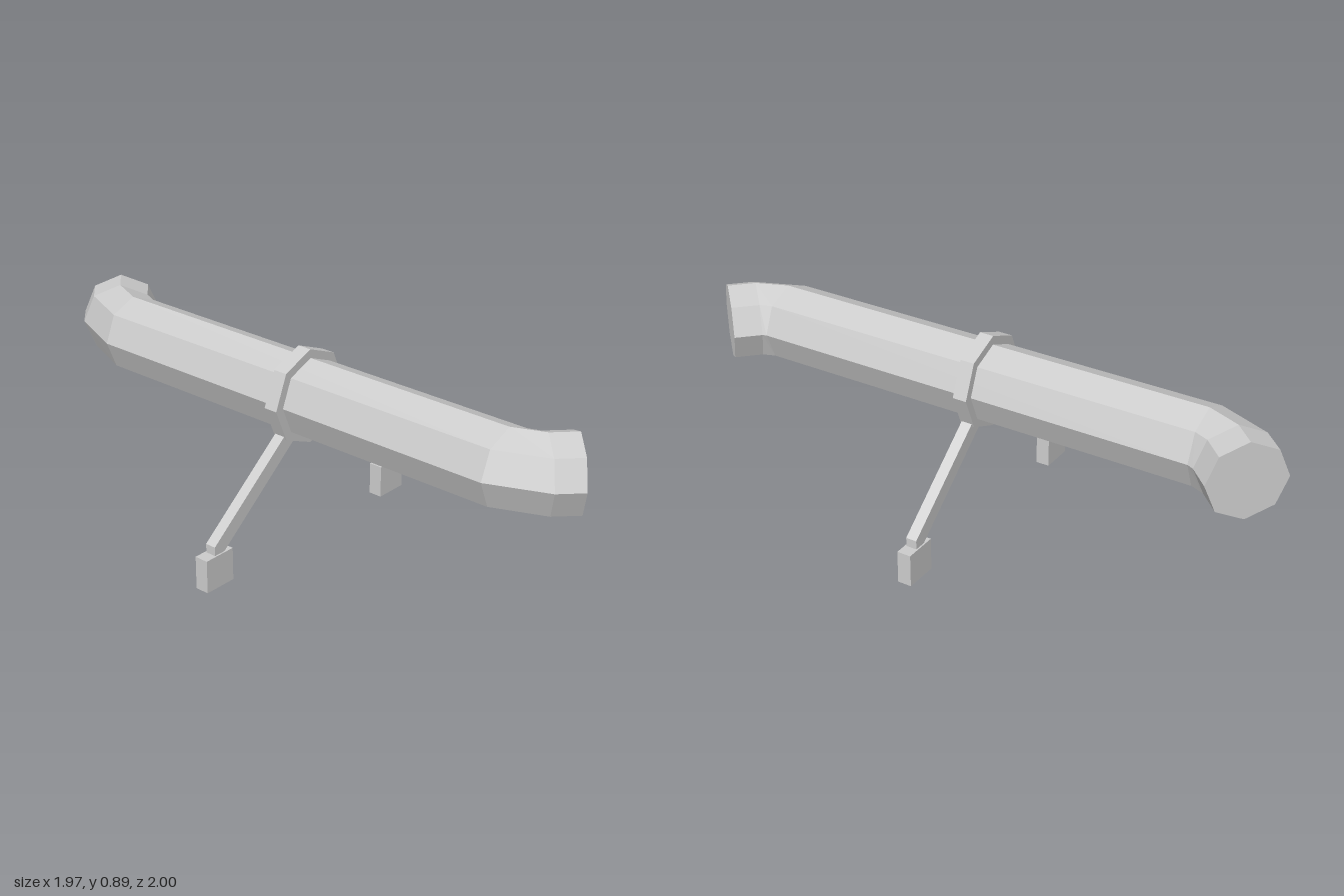
import * as THREE from 'three';

const RADIUS = 0.175, SIDES = 8, AXIS_Y = 0.675;

// Octagonal pipe lofted through stations [x, z, heading in degrees from +z]
function pipeGeometry(stations) {
  const rings = stations.map(([x, z, deg]) => {
    const h = THREE.MathUtils.degToRad(deg);
    return Array.from({ length: SIDES }, (_, j) => {
      const a = (j / SIDES) * Math.PI * 2;
      const s = RADIUS * Math.cos(a);
      return [x + s * Math.cos(h), AXIS_Y + RADIUS * Math.sin(a), z - s * Math.sin(h)];
    });
  });
  const pos = [];
  const tri = (...corners) => corners.forEach((c) => pos.push(...c));
  for (let i = 0; i < rings.length - 1; i++) {
    for (let j = 0; j < SIDES; j++) {
      const k = (j + 1) % SIDES;
      tri(rings[i][j], rings[i][k], rings[i + 1][k]);
      tri(rings[i][j], rings[i + 1][k], rings[i + 1][j]);
    }
  }
  // End caps
  const first = rings[0], last = rings[rings.length - 1];
  for (let j = 1; j < SIDES - 1; j++) {
    tri(first[0], first[j + 1], first[j]);
    tri(last[0], last[j], last[j + 1]);
  }
  const g = new THREE.BufferGeometry();
  g.setAttribute('position', new THREE.Float32BufferAttribute(pos, 3));
  g.computeVertexNormals();
  return g;
}

export function createModel() {
  const model = new THREE.Group();
  const material = new THREE.MeshStandardMaterial({ color: 0xcccccc, flatShading: true });
  const add = (parent, name, geometry) => {
    const mesh = new THREE.Mesh(geometry, material);
    mesh.name = name;
    parent.add(mesh);
    return mesh;
  };

  // Pipe with a 45 degree elbow at each end
  add(model, 'pipe', pipeGeometry([
    [-0.813, -1, 0], [-0.813, -0.865, 0],
    [-0.75, -0.71, 45], [0.72, 0.765, 45],
    [0.86, 0.825, 90], [0.985, 0.825, 90],
  ]));

  // Stand, turned so its local z follows the pipe
  const stand = new THREE.Group();
  stand.name = 'stand';
  stand.position.set(-0.02, 0, 0.025);
  stand.rotation.y = Math.PI / 4;
  model.add(stand);

  // Clamp ring round the pipe
  const clamp = new THREE.CylinderGeometry(0.215, 0.215, 0.065, SIDES);
  clamp.rotateX(Math.PI / 2);
  add(stand, 'clamp', clamp).position.y = AXIS_Y;

  // Sloping leg profile
  const legShape = new THREE.Shape([
    [0.534, 0.15], [0.59, 0.15], [0.59, 0.19], [0.145, 0.55], [0.09, 0.51],
  ].map(([x, y]) => new THREE.Vector2(x, y)));
  const leg = new THREE.ExtrudeGeometry(legShape, { depth: 0.05, bevelEnabled: false });
  leg.translate(0, 0, -0.025);
  const foot = new THREE.BoxGeometry(0.155, 0.15, 0.064);
  foot.translate(0.569, 0.075, 0);

  // Matching leg and foot on either side
  for (const [side, turn] of [['back', 0], ['front', Math.PI]]) {
    const support = new THREE.Group();
    support.name = side + 'Support';
    support.rotation.y = turn;
    stand.add(support);
    add(support, side + 'Leg', leg);
    add(support, side + 'Foot', foot);
  }
  return model;
}
